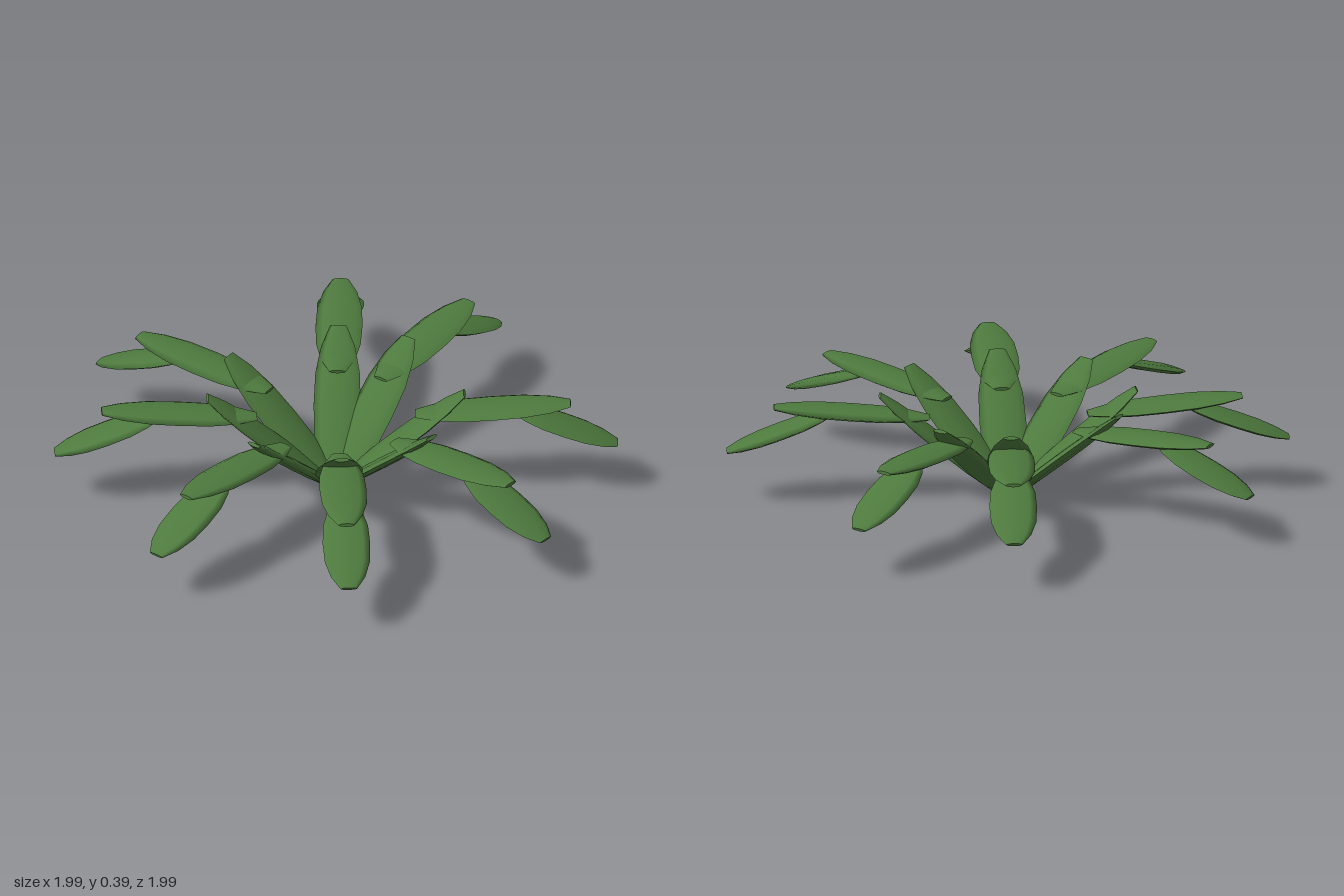
import * as THREE from 'three';

// Blunt-ended lens-shaped leaf pad of unit length along y (width on z, thickness on x)
function padGeometry() {
  const along = [0, 0.13, 0.3, 0.5, 0.7, 0.87, 1];
  const swell = [0.35, 0.72, 0.95, 1, 0.95, 0.72, 0.35];
  const geometry = new THREE.CylinderGeometry(1, 1, 1, 8, 6);
  const p = geometry.attributes.position;
  for (let i = 0; i < p.count; i++) {
    const row = Math.round((p.getY(i) + 0.5) * 6);
    p.setXYZ(i, p.getX(i) * swell[row], along[row] - 0.5, p.getZ(i) * swell[row]);
  }
  return geometry;
}

// Pad between two points given as [radius, height]
function makePad(name, geometry, material, from, to, halfWidth, halfThickness) {
  const dr = to[0] - from[0], dy = to[1] - from[1];
  const shaped = geometry.clone().scale(halfThickness, Math.hypot(dr, dy), halfWidth);
  shaped.computeVertexNormals();
  const pad = new THREE.Mesh(shaped, material);
  pad.name = name;
  pad.position.set((from[0] + to[0]) / 2, (from[1] + to[1]) / 2, 0);
  pad.rotation.z = -Math.atan2(dr, dy);
  return pad;
}

export function createModel() {
  const plant = new THREE.Group();
  plant.name = 'plant';
  const green = new THREE.MeshStandardMaterial({ color: 0x4e7a3e });
  green.name = 'leaf green';
  const pad = padGeometry();

  // Unevenly spread directions of the eight drooping branches, as [x, z]
  const directions = [
    [0.005, 1], [0.665, 0.725], [1, 0.035], [0.77, -0.635],
    [-0.095, -1], [-0.62, -0.775], [-1, 0.115], [-0.71, 0.685],
  ];
  for (const [x, z] of directions) {
    const branch = new THREE.Group();
    branch.name = 'branch';
    branch.add(
      makePad('innerPad', pad, green, [0.005, 0.012], [0.455, 0.395], 0.083, 0.02),
      makePad('middlePad', pad, green, [0.28, 0.31], [0.83, 0.355], 0.083, 0.019),
      makePad('outerPad', pad, green, [0.62, 0.335], [0.996, 0.193], 0.084, 0.018),
    );
    branch.rotation.y = Math.atan2(-z, x);
    plant.add(branch);
  }
  return plant;
}
